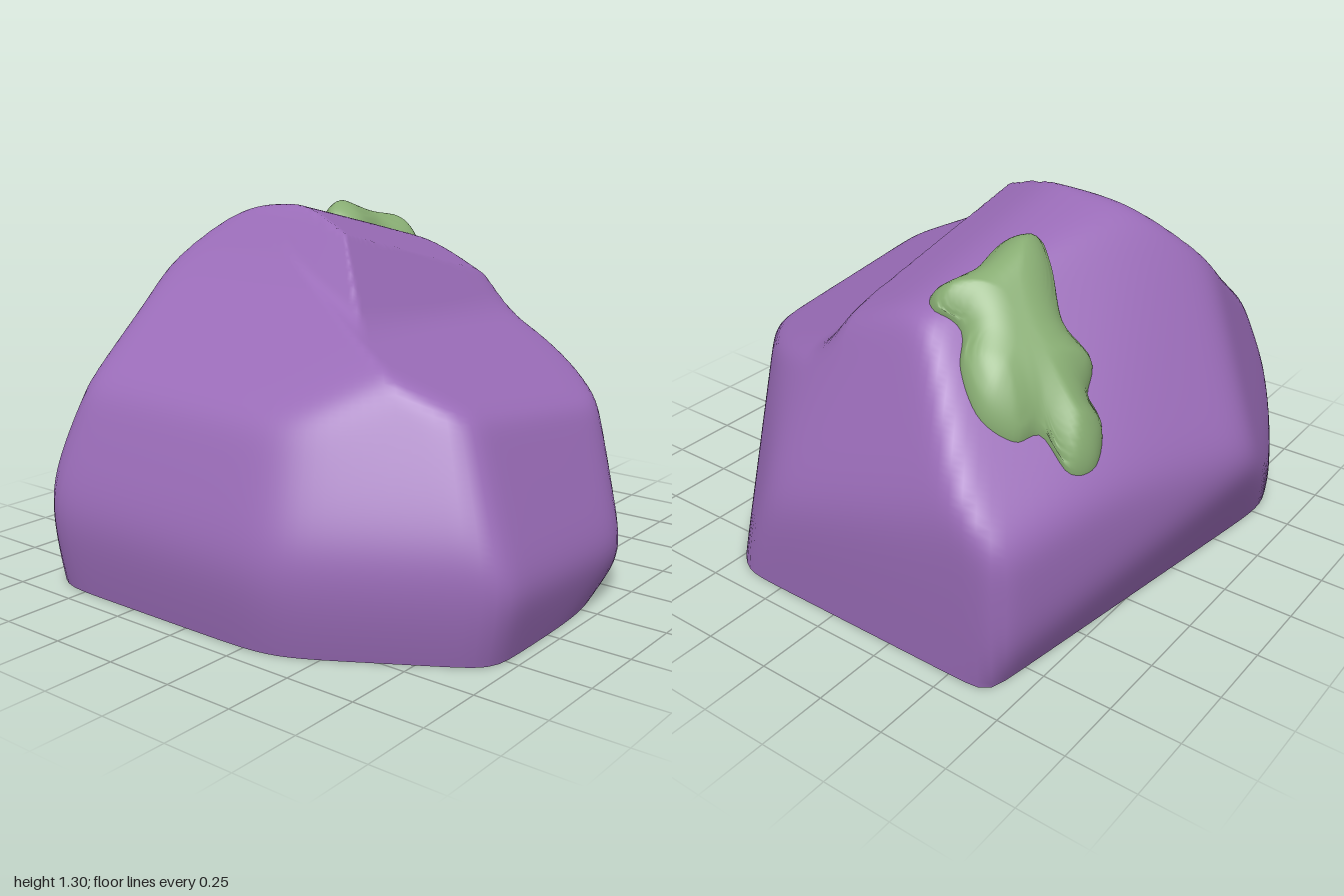
import * as THREE from 'three';

const CORE = new THREE.Vector3(0, 0.4, 0); // every cut plane is measured from here

// Cut planes [nx, ny, nz, d], the solid lies where n.p <= d
const CUTS = [
  [0.24, 1, 0, 1.272],          // sloping top
  [0.1, 1, -0.4, 1.45],         // rounded rear of the top
  [0.454, 0.199, 0.077, 0.52],  // upper right
  [0.191, 0.1255, 0.1096, 0.263], // upper right, front half
  [1, 0, 0, 0.965],             // right
  [1, -0.11, 0, 0.91],          // lower right
  [0.5, 1, -1, 1.72],           // upper back right
  [0.28, 1, -1.5, 2.02],        // upper back
  [0.29, 0, -1, 0.985],         // back right
  [0.084, -0.29, -0.588, 0.452],// back undercut
  [-0.179, 0.15, -0.3725, 0.467], // upper back left
  [-0.44, 0, -1, 1.11],         // back left
  [-0.707, 0, -0.707, 1.13],    // back left corner
  [-0.707, -0.2, -0.707, 1.08], // lower back left corner
  [-1, 0, 0, 0.97],             // left
  [-1, -0.22, 0, 0.914],        // lower left
  [-0.38, 0.15, 0, 0.412],      // upper left
  [-0.55, 0, 0.33, 0.655],      // front left corner
  [-0.55, -0.2, 0.33, 0.62],    // lower front left corner
  [-0.55, 0.28, 0.33, 0.75],    // upper front left corner
  [0.02, 0.21, 0.49, 0.538],    // front
  [0, -0.3, 1, 0.937],          // lower front
  [0.47, 0.1, 0.62, 0.71],      // front right corner
  [0.165, 0.059, 0.145, 0.214], // upper front right corner
  [0.3, -0.6, 0.8, 0.755],      // front right undercut
];
// Two overlapping top shapes: the low shelf and the tall hump
const SHELF = [[0.12, 1, 0.41, 1.015], [-0.67, 1, 0, 1.25]];
const HUMP = [[0.2, 1, 1.3, 1.26], [0.24, 1, 0.45, 1.195], [-1.2, 1, 0, 1.42]];

const POWER = 36;    // edge sharpness
const SWELL = 1.018; // makes up for what the rounding takes off
const nearness = ([x, y, z, d], v) =>
  Math.max(0, (x * v.x + y * v.y + z * v.z) / (d - y * CORE.y));

// Distance from the core to the rock surface along unit direction v
function radius(v) {
  const a = Math.max(...SHELF.map((c) => nearness(c, v)));
  const b = Math.max(...HUMP.map((c) => nearness(c, v)));
  const k = 0.1, h = Math.max(k - Math.abs(a - b), 0) / k;
  const top = Math.max(0, Math.min(a, b) - (h * h * k) / 4);
  let sum = top ** POWER;
  for (const c of CUTS) sum += nearness(c, v) ** POWER;
  return SWELL * sum ** (-1 / POWER);
}

function rockPoint(phi, lift) {
  const v = new THREE.Vector3(Math.cos(phi) * Math.cos(lift), Math.sin(lift), Math.sin(phi) * Math.cos(lift));
  return v.multiplyScalar(radius(v)).add(CORE);
}

// Height of the upper rock surface over (x, z)
function heightAt(x, z) {
  let lo = 0.4, hi = 1.5;
  for (let i = 0; i < 24; i++) {
    const mid = (lo + hi) / 2;
    const v = new THREE.Vector3(x, mid, z).sub(CORE);
    const len = v.length();
    if (len < radius(v.divideScalar(len))) lo = mid; else hi = mid;
  }
  return lo;
}

// Closed rings of points, each row joined to the next
function ringSurface(rows, cols, point) {
  const pos = [], index = [];
  for (let i = 0; i <= rows; i++)
    for (let j = 0; j < cols; j++) pos.push(...point(i, j).toArray());
  for (let i = 0; i < rows; i++)
    for (let j = 0; j < cols; j++) {
      const a = i * cols + j, c = i * cols + ((j + 1) % cols);
      index.push(a, c, a + cols, c, c + cols, a + cols);
    }
  const g = new THREE.BufferGeometry();
  g.setAttribute('position', new THREE.Float32BufferAttribute(pos, 3));
  g.setIndex(index);
  g.computeVertexNormals();
  return g;
}

export function createModel() {
  const group = new THREE.Group();
  group.name = 'mossyRock';
  const stone = new THREE.MeshStandardMaterial({ color: 0x9a6cb8 });
  stone.name = 'purple stone';
  const green = new THREE.MeshStandardMaterial({ color: 0x88ad73 });
  green.name = 'green moss';
  const add = (name, geometry, material) => {
    const m = new THREE.Mesh(geometry, material);
    m.name = name;
    group.add(m);
  };

  // Rock body: each column runs from the top down to the ground line
  const rows = 90, cols = 160;
  const angle = (j) => (j / cols) * Math.PI * 2;
  const ground = [];
  for (let j = 0; j < cols; j++) {
    let lo = -1.3, hi = 0;
    for (let k = 0; k < 30; k++) {
      const mid = (lo + hi) / 2;
      if (rockPoint(angle(j), mid).y < 0) lo = mid; else hi = mid;
    }
    ground.push(hi);
  }
  add('rockBody', ringSurface(rows, cols, (i, j) =>
    rockPoint(angle(j), THREE.MathUtils.lerp(Math.PI / 2, ground[j], i / rows))), stone);

  // Flat underside, from the ground line in to the middle
  add('rockBase', ringSurface(1, cols, (i, j) => {
    const p = rockPoint(angle(j), ground[j]).multiplyScalar(1 - i);
    p.y = 0;
    return p;
  }), stone);

  // Moss patch draped over the back right shoulder, puffed up away from its outline
  const outline = new THREE.CatmullRomCurve3([
    [0.23, -0.33], [0.3, -0.25], [0.47, -0.25], [0.61, -0.2], [0.66, -0.25], [0.65, -0.35],
    [0.72, -0.4], [0.76, -0.5], [0.71, -0.6], [0.63, -0.64], [0.62, -0.74], [0.53, -0.78],
    [0.44, -0.74], [0.43, -0.68], [0.35, -0.64], [0.36, -0.54], [0.28, -0.43],
  ].reverse().map(([x, z]) => new THREE.Vector3(x, 0, z)), true);
  const mossRows = 28, mossCols = 96;
  const edge = outline.getSpacedPoints(mossCols);
  const middle = new THREE.Vector3(0.52, 0, -0.46);
  const lift = new THREE.Vector3(0.2, 0.85, -0.35).normalize();
  add('mossPatch', ringSurface(mossRows, mossCols, (i, j) => {
    const p = middle.clone().lerp(edge[j], Math.sin((i / mossRows) * Math.PI / 2));
    const inset = Math.min(1, Math.min(...edge.map((e) => e.distanceTo(p))) / 0.15);
    p.y = heightAt(p.x, p.z);
    return p.addScaledVector(lift, 0.125 * Math.sqrt(1 - (1 - inset) ** 2) - 0.025);
  }), green);

  return group;
}
